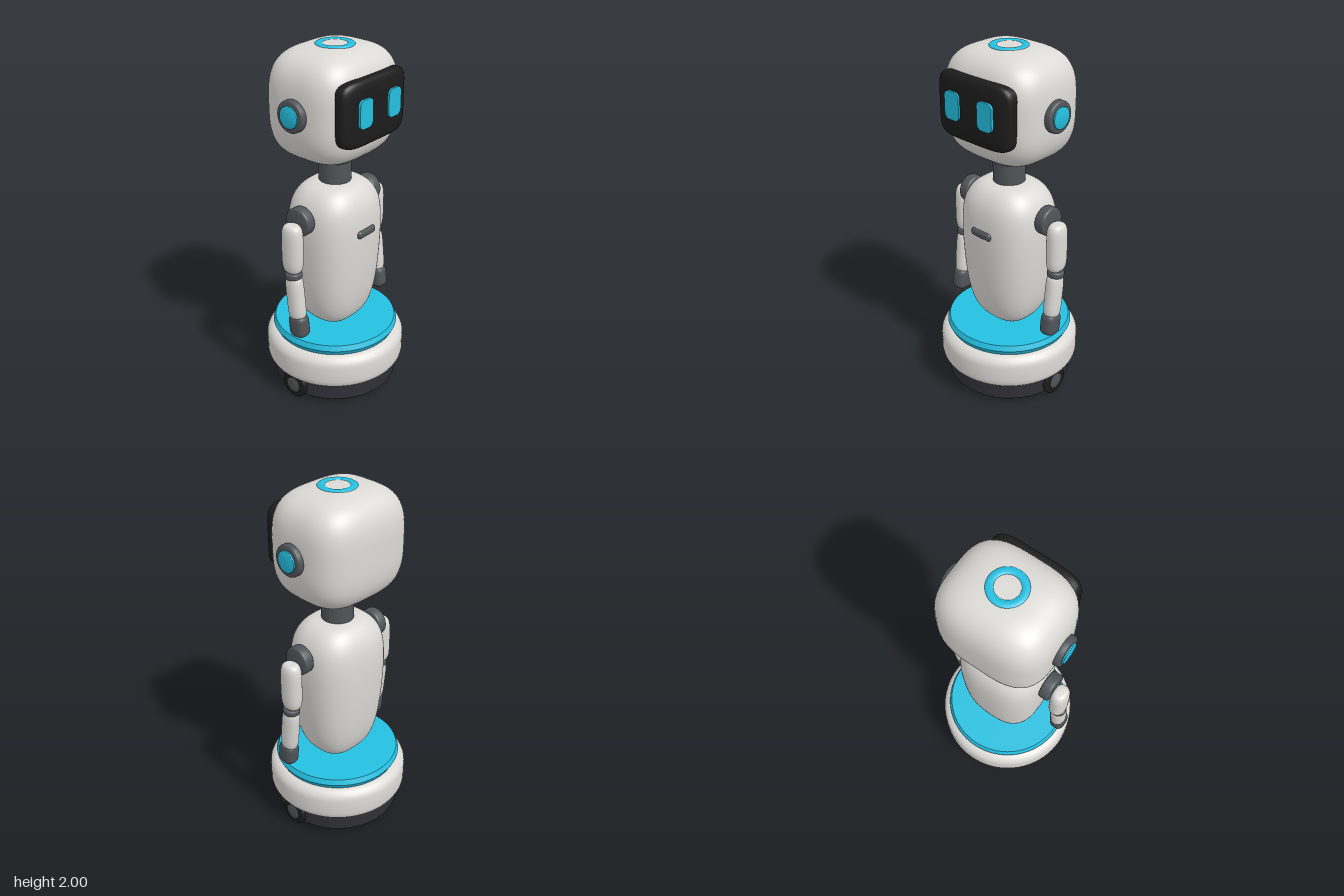
import * as THREE from 'three';
import { mergeVertices, toCreasedNormals } from 'three/addons/utils/BufferGeometryUtils.js';
import { RoundedBoxGeometry } from 'three/addons/geometries/RoundedBoxGeometry.js';

const mat = (name, color) => Object.assign(new THREE.MeshStandardMaterial({ color }), { name });

// Moves every vertex by a rule and rebuilds smooth normals without a seam
function warp(geo, rule) {
  geo.deleteAttribute('uv');
  geo.deleteAttribute('normal');
  const p = geo.attributes.position, v = new THREE.Vector3();
  for (let i = 0; i < p.count; i++) {
    rule(v.fromBufferAttribute(p, i));
    p.setXYZ(i, v.x, v.y, v.z);
  }
  const out = mergeVertices(geo, 1e-5);
  out.computeVertexNormals();
  return out;
}

// Pushes a round horizontal section out towards a rounded square
function squareSection(v, m) {
  const h = Math.hypot(v.x, v.z);
  if (h < 1e-6) return;
  const k = (Math.abs(v.x / h) ** m + Math.abs(v.z / h) ** m) ** (-1 / m);
  v.x *= k;
  v.z *= k;
}

// Rounded block: n squares the upright profile, m the horizontal section
function softBlock(rx, ry, rz, n, m, ws = 64, hs = 40) {
  return warp(new THREE.SphereGeometry(1, ws, hs), v => {
    const h = Math.hypot(v.x, v.z);
    const k = (h ** n + Math.abs(v.y) ** n) ** (-1 / n);
    squareSection(v, m);
    v.set(v.x * k * rx, v.y * k * ry, v.z * k * rz);
  });
}

// Turned part from [radius, y] pairs, bottom to top
function turned(pairs, segments = 64) {
  const geo = new THREE.LatheGeometry(pairs.map(([x, y]) => new THREE.Vector2(x, y)), segments);
  return toCreasedNormals(geo, 0.6);
}

// Disc with rounded edges, centred on its own axis
function disc(r, w, b, segments = 48) {
  const pts = [[0, -w / 2]];
  for (const end of [-1, 1]) {
    for (let i = 0; i <= 5; i++) {
      const a = (end < 0 ? i - 5 : i) / 5 * Math.PI / 2;
      pts.push([r - b + b * Math.cos(a), end * (w / 2 - b) + b * Math.sin(a)]);
    }
  }
  pts.push([0, w / 2]);
  return turned(pts, segments);
}

function roundedRect(w, h, r) {
  const s = new THREE.Shape(), x = w / 2, y = h / 2;
  s.absarc(x - r, y - r, r, 0, Math.PI / 2);
  s.absarc(r - x, y - r, r, Math.PI / 2, Math.PI);
  s.absarc(r - x, r - y, r, Math.PI, Math.PI * 1.5);
  s.absarc(x - r, r - y, r, Math.PI * 1.5, Math.PI * 2);
  return s;
}

export function createModel() {
  const white = mat('shell white', 0xdcdad6);
  const cyan = mat('accent cyan', 0x24bfe0);
  const gray = mat('joint gray', 0x505458);
  const black = mat('visor black', 0x1c1c1c);
  const dark = mat('chassis dark', 0x302f37);

  const model = new THREE.Group();
  model.name = 'robot';
  function add(name, geo, material, x = 0, y = 0, z = 0) {
    const mesh = new THREE.Mesh(geo, material);
    mesh.name = name;
    mesh.position.set(x, y, z);
    model.add(mesh);
    return mesh;
  }

  // Rolling base
  add('chassis', turned([[0.345, 0.03], [0.355, 0.04], [0.355, 0.14]]), dark);
  add('chassisFloor', new THREE.CircleGeometry(0.346, 64).rotateX(Math.PI / 2), black, 0, 0.03);
  add('baseShell', disc(0.397, 0.21, 0.06, 72), white, 0, 0.235);
  add('baseTop', turned([[0, 0.33], [0.34, 0.335], [0.358, 0.37], [0.345, 0.4], [0, 0.4]], 72), cyan);
  for (const z of [-0.25, 0.25]) {
    add('caster', new THREE.SphereGeometry(0.028, 20, 14), black, 0, 0.03, z);
  }

  // Torso
  const profile = new THREE.SplineCurve([
    [0.001, 0.4], [0.1, 0.405], [0.158, 0.44], [0.198, 0.51], [0.225, 0.62], [0.242, 0.78],
    [0.25, 0.97], [0.242, 1.1], [0.215, 1.18], [0.165, 1.235], [0.1, 1.256], [0.001, 1.26],
  ].map(([x, y]) => new THREE.Vector2(x, y)));
  const torso = warp(new THREE.LatheGeometry(profile.getPoints(50), 72), v => {
    squareSection(v, 2.7);
    v.z *= 0.88;
  });
  add('torso', torso, white);
  add('chestBadge', new RoundedBoxGeometry(0.14, 0.045, 0.04, 4, 0.018), gray, 0, 1.003, 0.214);
  add('neck', turned([[0, 1.23], [0.088, 1.23], [0.088, 1.37], [0, 1.37]], 48), gray);

  // Head with a bent visor
  add('head', softBlock(0.315, 0.298, 0.269, 3.3, 3.3, 80, 56), white, 0, 1.7, -0.008);
  const visor = softBlock(0.25, 0.06, 0.174, 5, 6, 96, 48).rotateX(Math.PI / 2);
  add('visor', warp(visor, v => { v.z -= 0.015 * (v.x / 0.25) ** 4; }), black, 0, 1.715, 0.23);
  const ring = new THREE.TorusGeometry(0.082, 0.022, 16, 56).rotateX(Math.PI / 2).scale(1, 0.5, 1);
  add('headRing', ring, cyan, 0, 1.992);
  const eye = new THREE.ExtrudeGeometry(roundedRect(0.1, 0.15, 0.03), { depth: 0.02, bevelEnabled: false });

  const earPad = disc(0.085, 0.052, 0.012).rotateZ(Math.PI / 2);
  const earLight = disc(0.058, 0.02, 0.004).rotateZ(Math.PI / 2);
  const shoulder = disc(0.08, 0.062, 0.012).rotateZ(Math.PI / 2);
  const wheel = disc(0.084, 0.06, 0.012).rotateZ(Math.PI / 2);
  const hub = disc(0.046, 0.012, 0.003).rotateZ(Math.PI / 2);
  const upperArm = softBlock(0.049, 0.142, 0.062, 4.5, 2.2, 32, 32);
  const foreArm = softBlock(0.044, 0.135, 0.052, 5, 2.2, 32, 32);
  const hand = softBlock(0.045, 0.063, 0.054, 5, 2.8, 32, 32);
  const elbow = disc(0.047, 0.036, 0.01, 32);

  // Paired parts
  for (const [side, s] of [['left', 1], ['right', -1]]) {
    add(side + 'Eye', eye, cyan, s * 0.113, 1.725, 0.28);
    add(side + 'EarPad', earPad, gray, s * 0.321, 1.7);
    add(side + 'EarLight', earLight, cyan, s * 0.346, 1.7);
    add(side + 'Shoulder', shoulder, gray, s * 0.28, 1.105);
    add(side + 'UpperArm', upperArm, white, s * 0.345, 0.968);
    add(side + 'Elbow', elbow, gray, s * 0.347, 0.81, 0.005).rotation.x = -0.1;
    add(side + 'Forearm', foreArm, white, s * 0.347, 0.675, 0.018).rotation.x = -0.1;
    add(side + 'Hand', hand, gray, s * 0.347, 0.503, 0.039).rotation.x = -0.1;
    add(side + 'Wheel', wheel, black, s * 0.335, 0.084);
    add(side + 'WheelHub', hub, gray, s * 0.363, 0.084);
  }
  return model;
}
